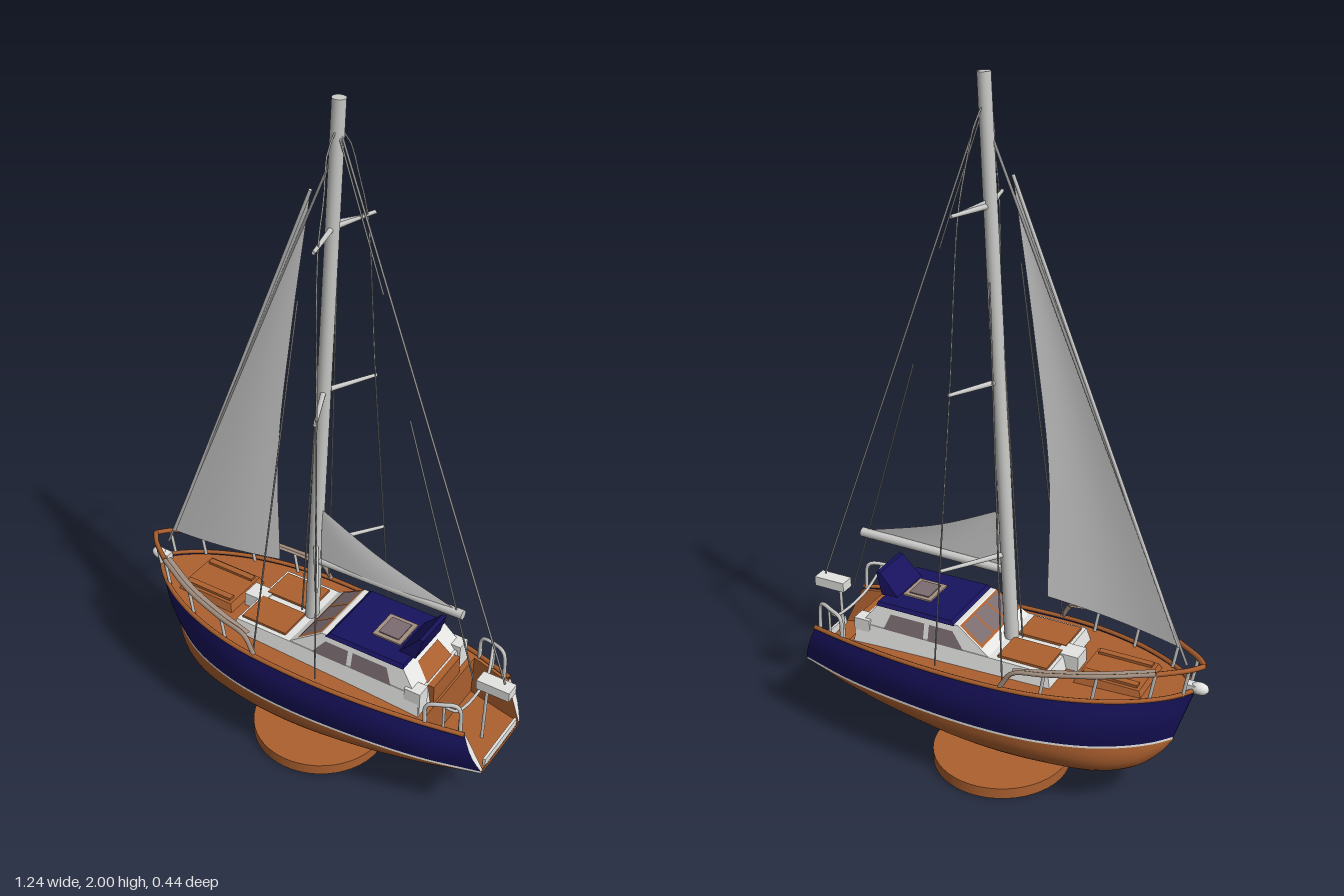
import * as THREE from 'three';

const mat = (name, color, side = THREE.FrontSide) => {
  const m = new THREE.MeshStandardMaterial({ color, side });
  m.name = name;
  return m;
};
const V = (x, y, z) => new THREE.Vector3(x, y, z);
const lerp = THREE.MathUtils.lerp;

export function createModel() {
  const boat = new THREE.Group();
  boat.name = 'sailboat';
  const wood = mat('wood', 0xac602f, THREE.DoubleSide);
  const navy = mat('navy paint', 0x18135e, THREE.DoubleSide);
  const white = mat('white paint', 0xe4e4e2, THREE.DoubleSide);
  const cloth = mat('sail cloth', 0xdadada, THREE.DoubleSide);
  const metal = mat('metal', 0xcacac8);
  const wire = mat('rigging wire', 0x9a9a9a);
  const glass = mat('window glass', 0x7b6c70, THREE.DoubleSide);
  const taupe = mat('weathered trim', 0xa38f80, THREE.DoubleSide);

  const add = (name, geo, material, x = 0, y = 0, z = 0) => {
    const m = new THREE.Mesh(geo, material);
    m.name = name;
    m.position.set(x, y, z);
    boat.add(m);
    return m;
  };
  const box = (name, material, x0, x1, y0, y1, z0, z1) => add(name,
    new THREE.BoxGeometry(x1 - x0, y1 - y0, z1 - z0), material, (x0 + x1) / 2, (y0 + y1) / 2, (z0 + z1) / 2);
  // straight round bar between two points
  const rod = (name, a, b, r, material, rTop = r, sides = 8) => {
    const m = add(name, new THREE.CylinderGeometry(rTop, r, a.distanceTo(b), sides), material);
    m.position.copy(a).lerp(b, 0.5);
    m.quaternion.setFromUnitVectors(V(0, 1, 0), b.clone().sub(a).normalize());
  };
  const tube = (name, pts, r, material, n = 40) =>
    add(name, new THREE.TubeGeometry(new THREE.CatmullRomCurve3(pts), n, r, 6), material);
  // block with different bottom and top rectangles: [x0, x1, halfWidth, y]
  const frustum = (name, material, lo, hi) => {
    const g = new THREE.BoxGeometry(1, 1, 1).toNonIndexed(), p = g.attributes.position;
    for (let i = 0; i < p.count; i++) {
      const e = p.getY(i) > 0 ? hi : lo;
      p.setXYZ(i, p.getX(i) > 0 ? e[1] : e[0], e[3], Math.sign(p.getZ(i)) * e[2]);
    }
    g.computeVertexNormals();
    add(name, g, material);
  };
  // smooth surface through rows of points
  const surface = (name, rows, material, flip = false) => {
    const w = rows[0].length, index = [];
    for (let r = 0; r < rows.length - 1; r++) for (let c = 0; c < w - 1; c++) {
      const a = r * w + c, b = a + 1, d = a + w, e = d + 1;
      index.push(...(flip ? [a, d, b, b, d, e] : [a, b, d, b, e, d]));
    }
    const g = new THREE.BufferGeometry().setFromPoints(rows.flat());
    g.setIndex(index);
    g.computeVertexNormals();
    add(name, g, material);
  };
  // thin vertical plate cut from an outline in x and y
  const plate = (name, pts, thick, material) => {
    const s = new THREE.Shape(pts.map(p => new THREE.Vector2(...p)));
    add(name, new THREE.ExtrudeGeometry(s, { depth: thick, bevelEnabled: false }), material, 0, 0, -thick / 2);
  };

  // Hull stations: deck x, half beam, y | waterline x, half beam | keel x, y
  const stations = [
    [-0.585, 0.004, 0.412, -0.53, 0.003, -0.53, 0.23], [-0.54, 0.055, 0.407, -0.49, 0.05, -0.5, 0.185],
    [-0.46, 0.112, 0.403, -0.42, 0.105, -0.45, 0.14], [-0.34, 0.165, 0.399, -0.32, 0.155, -0.36, 0.107],
    [-0.18, 0.202, 0.394, -0.17, 0.193, -0.2, 0.1], [0, 0.211, 0.389, 0, 0.205, 0, 0.102],
    [0.2, 0.202, 0.384, 0.2, 0.195, 0.2, 0.127], [0.4, 0.172, 0.376, 0.42, 0.165, 0.42, 0.175],
    [0.55, 0.135, 0.366, 0.6, 0.118, 0.6, 0.226]];
  const along = f => new THREE.CatmullRomCurve3(stations.map(f)).getPoints(48);
  const topRow = v => along(([xd, bd, yd, xw, bw]) => V(lerp(xw, xd, v), lerp(0.24, yd, v),
    lerp(bw, bd, v) + Math.min(0.012, bd * 0.2) * Math.sin(Math.PI * v)));
  const lowRow = a => along(([, , , xw, bw, xk, yk]) => V(lerp(xw, xk, Math.sin(a)),
    lerp(0.233, yk, Math.sin(a)), bw * Math.max(0, Math.cos(a)) ** 0.8));
  const topsides = [1, 0.8, 0.6, 0.4, 0.2, 0].map(topRow);
  const bottom = Array.from({ length: 11 }, (_, i) => lowRow(i / 10 * Math.PI / 2));
  const stripe = [topsides[5], bottom[0]];
  const mirror = rows => rows.map(r => r.map(p => V(p.x, p.y, -p.z)));
  const last = r => r[r.length - 1];

  // Deck, with an open stern well behind index 43
  const cut = 43;
  const deckEdge = topsides[0].map(p => V(p.x, p.y - 0.01, p.z));
  const foreEdge = deckEdge.slice(0, cut + 1), aftEdge = deckEdge.slice(cut);
  const wellTop = aftEdge.map(p => V(p.x, p.y, p.z * 0.93));
  const wellFloor = topsides[5].slice(cut).map((p, i) => V(lerp(aftEdge[i].x, p.x, i / 5), 0.242, p.z * 0.93));
  surface('deck', [foreEdge, ...mirror([foreEdge])], wood);
  surface('wellFloor', [wellFloor, ...mirror([wellFloor])], wood);
  const wellFront = [[wellTop[0]], [wellFloor[0]]];
  surface('wellFront', wellFront.map((r, i) => [...r, ...mirror(wellFront)[i]]), wood);
  const outerEnd = topsides.map(last);
  const innerEnd = outerEnd.map((p, i) => last(wellTop).clone().lerp(last(wellFloor), i / 5));
  const under = [topsides[5], ...bottom].map(last);
  surface('sternLip', [under, ...mirror([under])], wood);

  for (const [s, rows] of [[1, r => r], [-1, mirror]]) {
    surface('topsides', rows(topsides), navy, s > 0);
    surface('waterlineStripe', rows(stripe), white, s > 0);
    surface('hullBottom', rows(bottom), wood, s > 0);
    surface('sideDeck', rows([aftEdge, wellTop]), wood, s < 0);
    surface('wellSide', rows([wellTop, wellFloor]), wood);
    surface('sternRim', rows([outerEnd, innerEnd]), white);
    tube('capRail', rows([topsides[0]])[0], 0.007, wood, 80);
  }
  box('sternStep', white, 0.592, 0.6, 0.242, 0.266, -0.095, 0.095);

  // Keel, rudder and display base
  plate('keel', [[-0.11, 0.03], [0.12, 0.03], [0.14, 0.13], [-0.085, 0.13]], 0.014, wood);
  plate('rudder', [[0.1, 0.11], [0.55, 0.11], [0.55, 0.185], [0.525, 0.215], [0.4, 0.185], [0.1, 0.13]], 0.012, wood);
  add('displayBase', new THREE.CylinderGeometry(0.205, 0.205, 0.034, 48), wood, 0, 0.017, 0);

  // Foredeck hatch, bowsprit and windlass
  box('bowsprit', white, -0.59, -0.555, 0.405, 0.428, -0.013, 0.013);
  const tip = add('bowspritTip', new THREE.SphereGeometry(0.018, 12, 8), white, -0.595, 0.417, 0);
  tip.scale.x = 1.5;
  frustum('foredeckHatch', wood, [-0.46, -0.26, 0.085, 0.385], [-0.45, -0.27, 0.075, 0.41]);
  for (const z of [-0.055, 0.055]) box('hatchSlat', wood, -0.44, -0.28, 0.408, 0.418, z - 0.01, z + 0.01);
  box('windlass', white, -0.25, -0.18, 0.385, 0.43, -0.03, 0.03);

  // Cabin trunk and wheelhouse
  frustum('cabinTrunk', white, [-0.22, 0.41, 0.145, 0.365], [-0.205, 0.4, 0.132, 0.425]);
  for (const s of [-1, 1])
    box('cabinTopPanel', wood, -0.195, -0.045, 0.424, 0.432, Math.min(s * 0.012, s * 0.118), Math.max(s * 0.012, s * 0.118));
  const lo = [-0.03, 0.395, 0.131, 0.42], hi = [0.08, 0.34, 0.115, 0.49];
  frustum('wheelhouse', white, lo, hi);
  const front = (t, z, out) => V(lerp(lo[0], hi[0], t) - out * 0.54, lerp(lo[3], hi[3], t) + out * 0.84, z * lerp(lo[2], hi[2], t));
  surface('windscreenFrame', [[front(0.3, -0.97, 0.002), front(0.3, 0.97, 0.002)], [front(0.97, -0.97, 0.002), front(0.97, 0.97, 0.002)]], wood);
  for (const [a, b] of [[-0.9, -0.34], [-0.28, 0.28], [0.34, 0.9]])
    surface('windscreen', [[front(0.36, a, 0.004), front(0.36, b, 0.004)], [front(0.92, a, 0.004), front(0.92, b, 0.004)]], glass);
  const sideZ = y => lerp(lo[2], hi[2], (y - lo[3]) / (hi[3] - lo[3])) + 0.003;
  for (const s of [-1, 1]) for (const [a, b, c, d] of [[0.055, 0.17, 0.17, 0.095], [0.185, 0.315, 0.295, 0.185]])
    surface('sideWindow', [[V(a, 0.424, s * sideZ(0.424)), V(b, 0.424, s * sideZ(0.424))],
      [V(d, 0.472, s * sideZ(0.472)), V(c, 0.472, s * sideZ(0.472))]], glass, s < 0);
  frustum('roof', navy, [0.092, 0.345, 0.12, 0.488], [0.105, 0.342, 0.112, 0.498]);
  box('roofHatchFrame', taupe, 0.205, 0.295, 0.496, 0.503, -0.05, 0.05);
  box('roofHatch', glass, 0.218, 0.282, 0.5, 0.506, -0.037, 0.037);
  frustum('sprayHood', navy, [0.3, 0.355, 0.07, 0.495], [0.362, 0.375, 0.065, 0.562]);
  // companionway on the rear of the wheelhouse and trunk
  const rear = (y, z) => V(lerp(lo[1], hi[1], (y - lo[3]) / 0.07) + 0.004, y, z);
  surface('companionwayDoor', [[rear(0.422, 0.07), rear(0.422, -0.07)], [rear(0.475, 0.055), rear(0.475, -0.055)]], wood);
  box('cockpitStep', wood, 0.4, 0.42, 0.362, 0.425, -0.075, 0.075);
  for (const z of [-0.115, 0.115]) box('cockpitCoaming', white, 0.36, 0.41, 0.37, 0.44, z - 0.022, z + 0.022);

  // Mast, boom and sails
  const mastAt = y => V(lerp(-0.032, 0.048, (y - 0.42) / 1.58), y, -0.003);
  rod('mast', mastAt(0.42), mastAt(2), 0.021, metal, 0.018, 16);
  rod('boom', V(-0.02, 0.635, -0.003), V(0.455, 0.645, -0.003), 0.012, metal, 0.014, 12);
  const sail = (name, a, b, belly) => {
    const p = new THREE.CatmullRomCurve3(a), q = new THREE.CatmullRomCurve3(b), rows = [];
    for (let i = 0; i <= 16; i++) {
      const m = p.getPoint(i / 16), n = q.getPoint(i / 16);
      rows.push(Array.from({ length: 9 }, (_, j) => m.clone().lerp(n, j / 8)
        .add(V(0, 0, belly * Math.sin(Math.PI * j / 8) * (1 - i / 16)))));
    }
    surface(name, rows, cloth);
  };
  sail('jib', [V(-0.525, 0.53, 0), V(-0.36, 0.94, 0), V(-0.2, 1.34, 0), V(-0.035, 1.75, 0)],
    [V(-0.14, 0.583, 0), V(-0.14, 0.95, 0), V(-0.09, 1.36, 0), V(-0.03, 1.75, 0)], 0.012);
  sail('mainsail', [V(-0.02, 0.635, 0), V(-0.018, 0.73, 0), V(-0.012, 0.825, 0)],
    [V(0.45, 0.65, 0), V(0.2, 0.728, 0), V(-0.01, 0.825, 0)], 0.008);
  surface('lowerGusset', [[V(0.0, 0.82, 0), V(0.0, 0.82, 0)], [V(0.0, 0.69, 0), V(0.07, 0.69, 0.1)]], cloth);
  surface('upperGusset', [[V(0.03, 1.69, 0), V(0.03, 1.665, 0)], [V(0.075, 1.67, -0.14), V(0.075, 1.667, -0.14)]], cloth);

  // Spreaders and standing rigging
  for (const s of [-1, 1]) {
    for (const [y, z, x] of [[0.69, 0.175, 0.1], [1.2, 0.15, 0.08], [1.67, 0.14, 0.07]])
      rod('spreader', mastAt(y), V(x, y, s * z), 0.008, metal, 0.005);
    tube('shroud', [V(0.11, 0.4, s * 0.2), V(0.1, 0.69, s * 0.178), V(0.08, 1.2, s * 0.143), V(0.065, 1.67, s * 0.112),
      V(0.06, 1.78, s * 0.08), V(0.05, 1.88, s * 0.05), V(0.046, 1.93, 0)], 0.0025, wire);
    rod('innerShroud', V(-0.1, 0.4, s * 0.2), V(-0.01, 1.5, s * 0.09), 0.0025, wire);
  }
  rod('lowerBackstay', V(0.5, 0.44, 0), V(0.27, 1.2, 0), 0.0025, wire);
  rod('backstay', V(0.595, 0.47, 0), V(0.055, 1.92, 0), 0.003, wire);
  rod('halyard', V(0.185, 1.535, 0.006), V(0.055, 1.91, 0.006), 0.0025, wire);
  rod('forestay', V(-0.555, 0.48, 0), V(0.035, 1.86, 0), 0.004, wire);
  rod('furlingFoil', V(-0.53, 0.53, 0), V(-0.03, 1.755, 0), 0.005, metal);
  rod('mastLine', V(-0.065, 0.43, 0), V(-0.005, 1.3, 0), 0.0025, wire);

  // Bow and stern rails
  for (const s of [-1, 1]) {
    const rail = [[-0.605, 0.49, 0], [-0.575, 0.489, 0.035], [-0.5, 0.486, 0.09], [-0.36, 0.476, 0.155],
      [-0.22, 0.46, 0.189], [-0.13, 0.445, 0.201], [-0.095, 0.395, 0.206]].map(([x, y, z]) => V(x, y, s * z));
    tube('bowRail', rail.slice(0, 3), 0.008, wood);
    tube('sideRail', rail.slice(2), 0.007, taupe);
    // flat capping on the inside of the rail
    const outer = new THREE.CatmullRomCurve3(rail.slice(2, 6)).getPoints(16);
    surface('railCapping', [outer, outer.map(p => V(p.x + 0.008, p.y + 0.003, p.z - s * 0.02))], taupe, s < 0);
    for (const i of [1, 2, 3, 4])
      rod('stanchion', rail[i].clone().add(V(0.015, -0.085, 0)), rail[i], 0.005, metal);
    tube('sternRail', [V(0.44, 0.37, s * 0.16), V(0.445, 0.44, s * 0.16), V(0.48, 0.452, s * 0.15),
      V(0.525, 0.45, s * 0.132), V(0.535, 0.365, s * 0.13)], 0.006, metal);
    rod('sternStanchion', V(0.49, 0.365, s * 0.146), V(0.49, 0.45, s * 0.146), 0.004, metal);
  }
  tube('sternCrossbar', [V(0.485, 0.45, 0.15), V(0.505, 0.39, 0.08), V(0.505, 0.39, -0.08), V(0.485, 0.45, -0.15)], 0.005, metal);

  // Stern box on its post
  box('sternBox', white, 0.52, 0.62, 0.432, 0.462, -0.022, 0.022);
  rod('sternBoxPost', V(0.54, 0.24, 0), V(0.545, 0.44, 0), 0.005, metal);
  return boat;
}
